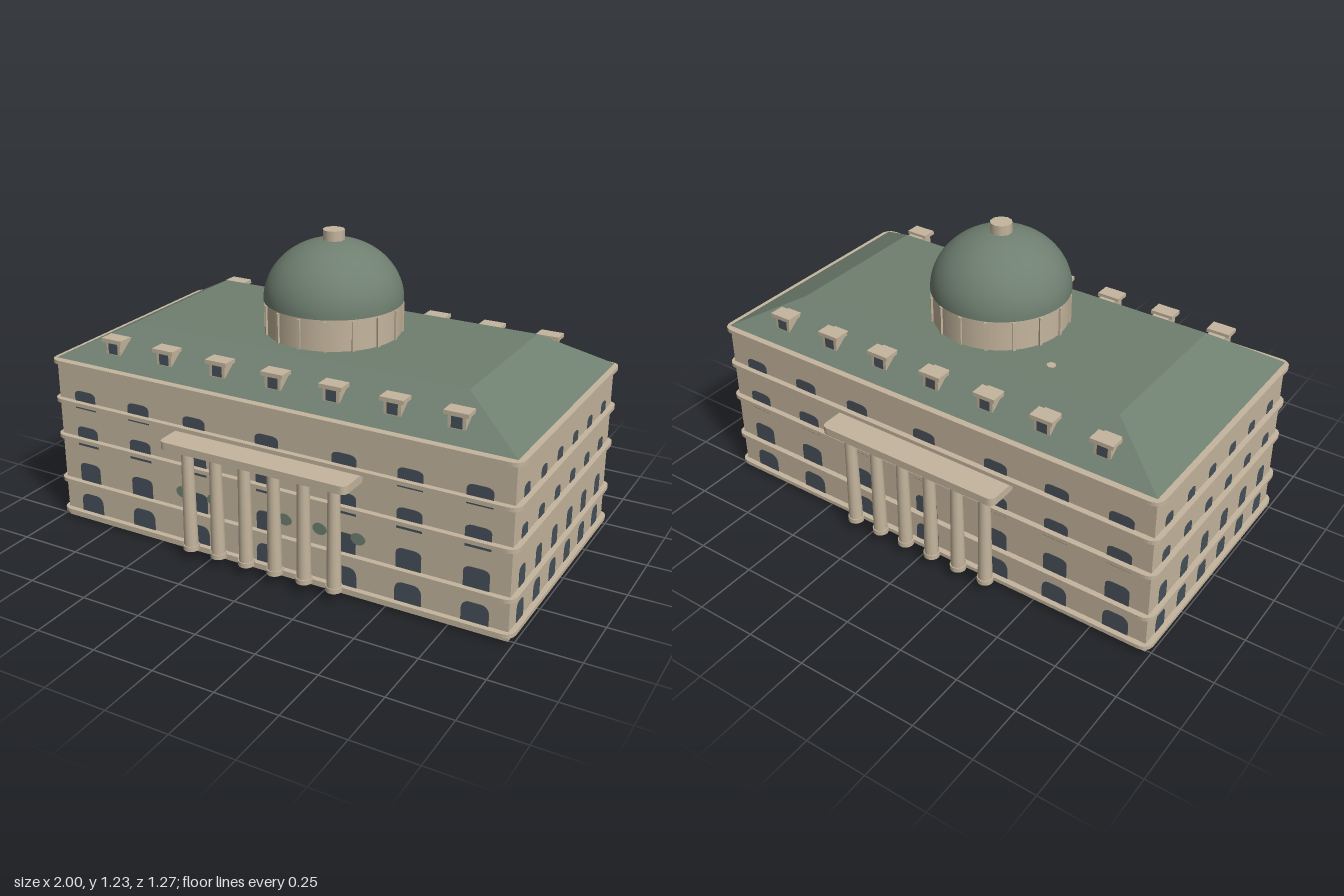
import * as THREE from 'three';

const stone = new THREE.MeshStandardMaterial({ color: 0xc4b59d });
stone.name = 'stone';
const copper = new THREE.MeshStandardMaterial({ color: 0x6f7f70 });
copper.name = 'weathered copper';
const glass = new THREE.MeshStandardMaterial({ color: 0x475059 });
glass.name = 'dark glass';

function add(parent, name, geometry, material, x = 0, y = 0, z = 0) {
  const mesh = new THREE.Mesh(geometry, material);
  mesh.name = name;
  mesh.position.set(x, y, z);
  parent.add(mesh);
  return mesh;
}

// Horizontal slab with rounded plan corners, base at y = 0
function slab(w, d, h, r) {
  const a = w / 2, b = d / 2, s = new THREE.Shape();
  s.moveTo(-a + r, -b);
  s.lineTo(a - r, -b);
  s.quadraticCurveTo(a, -b, a, -b + r);
  s.lineTo(a, b - r);
  s.quadraticCurveTo(a, b, a - r, b);
  s.lineTo(-a + r, b);
  s.quadraticCurveTo(-a, b, -a, b - r);
  s.lineTo(-a, -b + r);
  s.quadraticCurveTo(-a, -b, -a + r, -b);
  const g = new THREE.ExtrudeGeometry(s, { depth: h, bevelEnabled: false, curveSegments: 6 });
  return g.rotateX(-Math.PI / 2);
}

// Thin window plate with a softly arched head, facing +z
function windowPlate(w, h, rise) {
  const a = w / 2, s = new THREE.Shape();
  s.moveTo(-a, 0);
  s.lineTo(a, 0);
  s.lineTo(a, h - rise);
  s.bezierCurveTo(a, h - rise * 0.3, a * 0.7, h, a * 0.4, h);
  s.lineTo(-a * 0.4, h);
  s.bezierCurveTo(-a * 0.7, h, -a, h - rise * 0.3, -a, h - rise);
  return new THREE.ExtrudeGeometry(s, { depth: 0.006, bevelEnabled: false, curveSegments: 6 });
}

// Truncated hip roof from its eave and deck rectangles
function hipRoof(x0, z0, y0, x1, z1, y1) {
  const ring = (x, y, z) => [[-x, y, z], [x, y, z], [x, y, -z], [-x, y, -z]];
  const e = ring(x0, y0, z0), t = ring(x1, y1, z1), p = [];
  const quad = (a, b, c, d) => p.push(...a, ...b, ...c, ...a, ...c, ...d);
  for (let i = 0; i < 4; i++) quad(e[i], e[(i + 1) % 4], t[(i + 1) % 4], t[i]);
  quad(...t);
  quad(e[3], e[2], e[1], e[0]);
  const g = new THREE.BufferGeometry();
  g.setAttribute('position', new THREE.Float32BufferAttribute(p, 3));
  g.computeVertexNormals();
  return g;
}

// One long facade: windows, colonnade and dormers, built facing +z
function makeFacade(rows) {
  const f = new THREE.Group();
  for (const r of rows) {
    const g = windowPlate(r.wide, r.h, r.rise);
    for (const x of [-0.85, -0.588, -0.325, 0, 0.325, 0.588, 0.85]) add(f, 'window', g, glass, x, r.y, 0.503);
  }

  // Colonnade
  const portico = new THREE.Group();
  portico.name = 'portico';
  f.add(portico);
  add(portico, 'entablature', slab(0.8, 0.155, 0.032, 0.03), stone, 0, 0.48, 0.5575);
  const shaft = new THREE.CylinderGeometry(0.023, 0.028, 0.405, 20);
  const base = new THREE.CylinderGeometry(0.032, 0.032, 0.02, 20);
  const capital = new THREE.BoxGeometry(0.064, 0.022, 0.064);
  for (let i = 0; i < 6; i++) {
    const x = (i - 2.5) * 0.127;
    add(portico, 'columnShaft', shaft, stone, x, 0.2675, 0.567);
    add(portico, 'columnBase', base, stone, x, 0.056, 0.567);
    add(portico, 'columnCapital', capital, stone, x, 0.47, 0.567);
  }

  // Dormers
  const box = new THREE.BoxGeometry(0.068, 0.08, 0.075);
  const cap = new THREE.BoxGeometry(0.094, 0.016, 0.062);
  const pane = new THREE.BoxGeometry(0.042, 0.042, 0.006);
  for (let i = -3; i <= 3; i++) {
    const d = new THREE.Group();
    d.name = 'dormer';
    d.position.set(i * 0.244, 0, 0);
    add(d, 'dormerBody', box, stone, 0, 0.752, 0.4195);
    add(d, 'dormerCap', cap, stone, 0, 0.796, 0.436);
    add(d, 'dormerWindow', pane, glass, 0, 0.762, 0.456);
    f.add(d);
  }
  return f;
}

export function createModel() {
  const model = new THREE.Group();
  model.name = 'domedBuilding';

  // Main block and string courses
  add(model, 'mainBlock', new THREE.BoxGeometry(1.956, 0.692, 1.014), stone, 0, 0.346, 0);
  const course = slab(2, 1.06, 0.016, 0.05);
  for (const y of [0.023, 0.162, 0.357, 0.515, 0.68]) add(model, 'stringCourse', course, stone, 0, y, 0);

  const rows = [
    { y: 0.037, h: 0.081, wide: 0.107, narrow: 0.064, rise: 0.035 },
    { y: 0.178, h: 0.08, wide: 0.1, narrow: 0.055, rise: 0.02 },
    { y: 0.335, h: 0.085, wide: 0.1, narrow: 0.054, rise: 0.018 },
    { y: 0.498, h: 0.077, wide: 0.1, narrow: 0.052, rise: 0.018 },
  ];

  // Long facades, front and back
  for (const [name, turn] of [['frontFacade', 0], ['backFacade', Math.PI]]) {
    const f = makeFacade(rows);
    f.name = name;
    f.rotation.y = turn;
    model.add(f);
  }

  // Short facades
  for (const side of [-1, 1]) {
    const f = new THREE.Group();
    f.name = side > 0 ? 'leftFacade' : 'rightFacade';
    f.rotation.y = side * Math.PI / 2;
    for (const r of rows) {
      const g = windowPlate(r.narrow, r.h, r.rise);
      for (let i = 0; i < 6; i++) add(f, 'window', g, glass, (i - 2.5) * 0.1625, r.y, 0.974);
    }
    model.add(f);
  }

  // Green patches on the front wall behind the columns
  const patch = new THREE.CylinderGeometry(0.03, 0.03, 0.006, 16).rotateX(Math.PI / 2);
  for (const x of [-0.39, -0.245, 0.075, 0.225, 0.385]) {
    add(model, 'wallFoliage', patch, copper, x, 0.247, 0.508).scale.y = 0.8;
  }

  // Roof
  add(model, 'hipRoof', hipRoof(0.978, 0.508, 0.7, 0.72, 0.326, 0.834), copper);
  add(model, 'roofVent', new THREE.CylinderGeometry(0.018, 0.018, 0.008, 8), stone, -0.36, 0.834, -0.2);

  // Drum with sixteen pilasters
  add(model, 'drum', new THREE.CylinderGeometry(0.266, 0.266, 0.13, 48), stone, 0, 0.895, 0);
  const pilaster = new THREE.BoxGeometry(0.012, 0.118, 0.012);
  for (let i = 0; i < 16; i++) {
    const a = i * Math.PI / 8;
    add(model, 'drumPilaster', pilaster, stone, Math.sin(a) * 0.268, 0.893, Math.cos(a) * 0.268).rotation.y = a;
  }

  // Dome, closed underneath, and its cap
  const profile = [new THREE.Vector2(0, 0)];
  for (let i = 0; i <= 24; i++) {
    const a = i / 24 * Math.PI / 2;
    profile.push(new THREE.Vector2(i === 24 ? 0 : Math.cos(a) * 0.273, Math.sin(a) * 0.238));
  }
  const soffit = new THREE.CircleGeometry(0.273, 48).rotateX(Math.PI / 2);
  add(model, 'dome', new THREE.LatheGeometry(profile.slice(1), 48), copper, 0, 0.959, 0);
  add(model, 'domeSoffit', soffit, copper, 0, 0.959, 0);
  add(model, 'domeCap', new THREE.CylinderGeometry(0.043, 0.043, 0.055, 10), stone, 0, 1.206, 0);

  return model;
}
